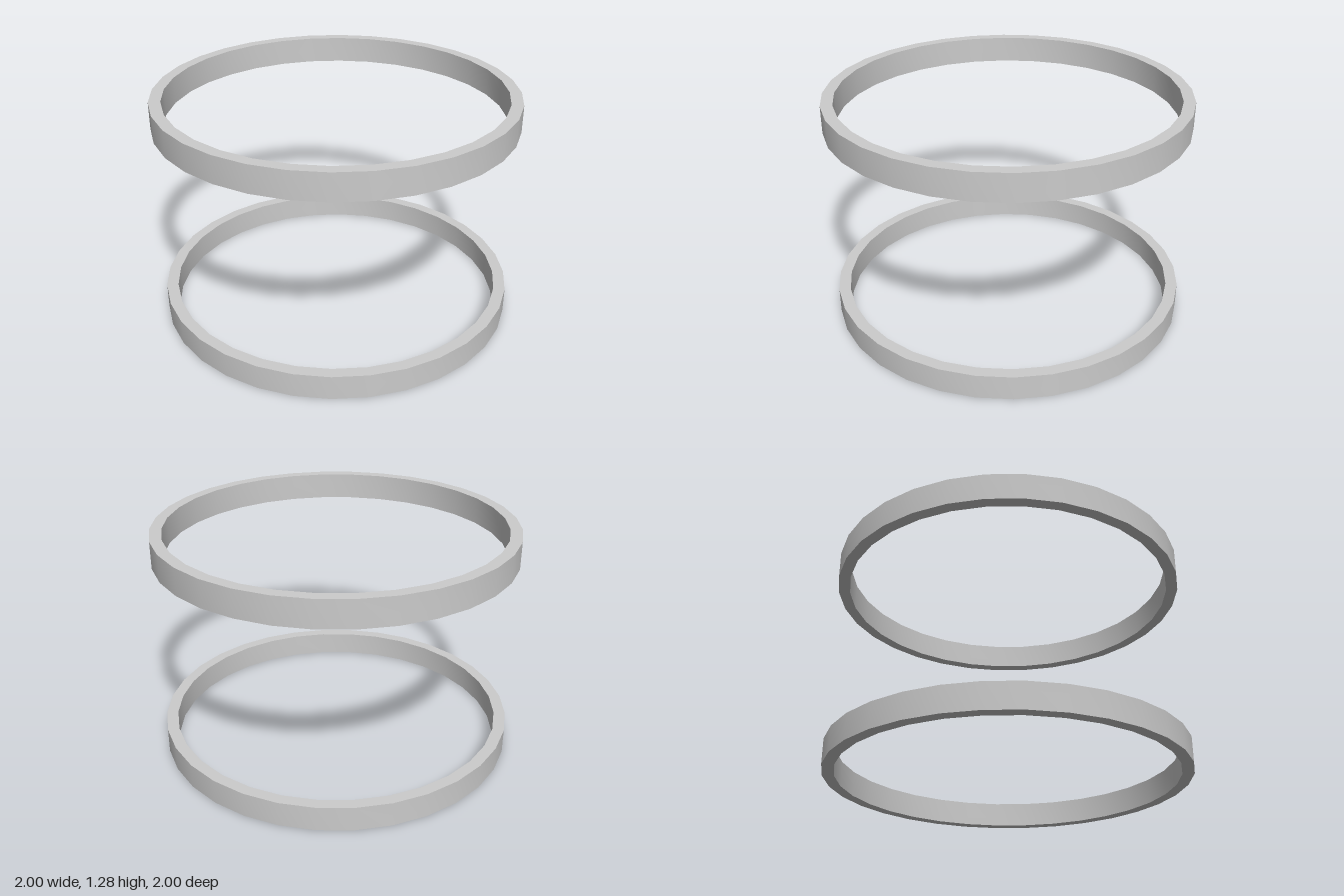
import * as THREE from 'three';
import { toCreasedNormals } from 'three/addons/utils/BufferGeometryUtils.js';

const OUTER = 1, INNER = 0.935, SIDES = 32;

// Flat band with a rectangular section, smooth around and sharp at the rims
function makeRing(name, bottom, top, material) {
  const section = [
    [INNER, bottom], [OUTER, bottom], [OUTER, top], [INNER, top], [INNER, bottom],
  ].map(([r, y]) => new THREE.Vector2(r, y));
  const geometry = toCreasedNormals(new THREE.LatheGeometry(section, SIDES), Math.PI / 4);
  const ring = new THREE.Mesh(geometry, material);
  ring.name = name;
  return ring;
}

export function createModel() {
  const model = new THREE.Group();
  model.name = 'ringPair';
  const material = new THREE.MeshStandardMaterial({ color: 0xcccccc });
  model.add(
    makeRing('lowerRing', 0, 0.14, material),
    makeRing('upperRing', 1.13, 1.28, material), // slightly taller band
  );
  return model;
}
